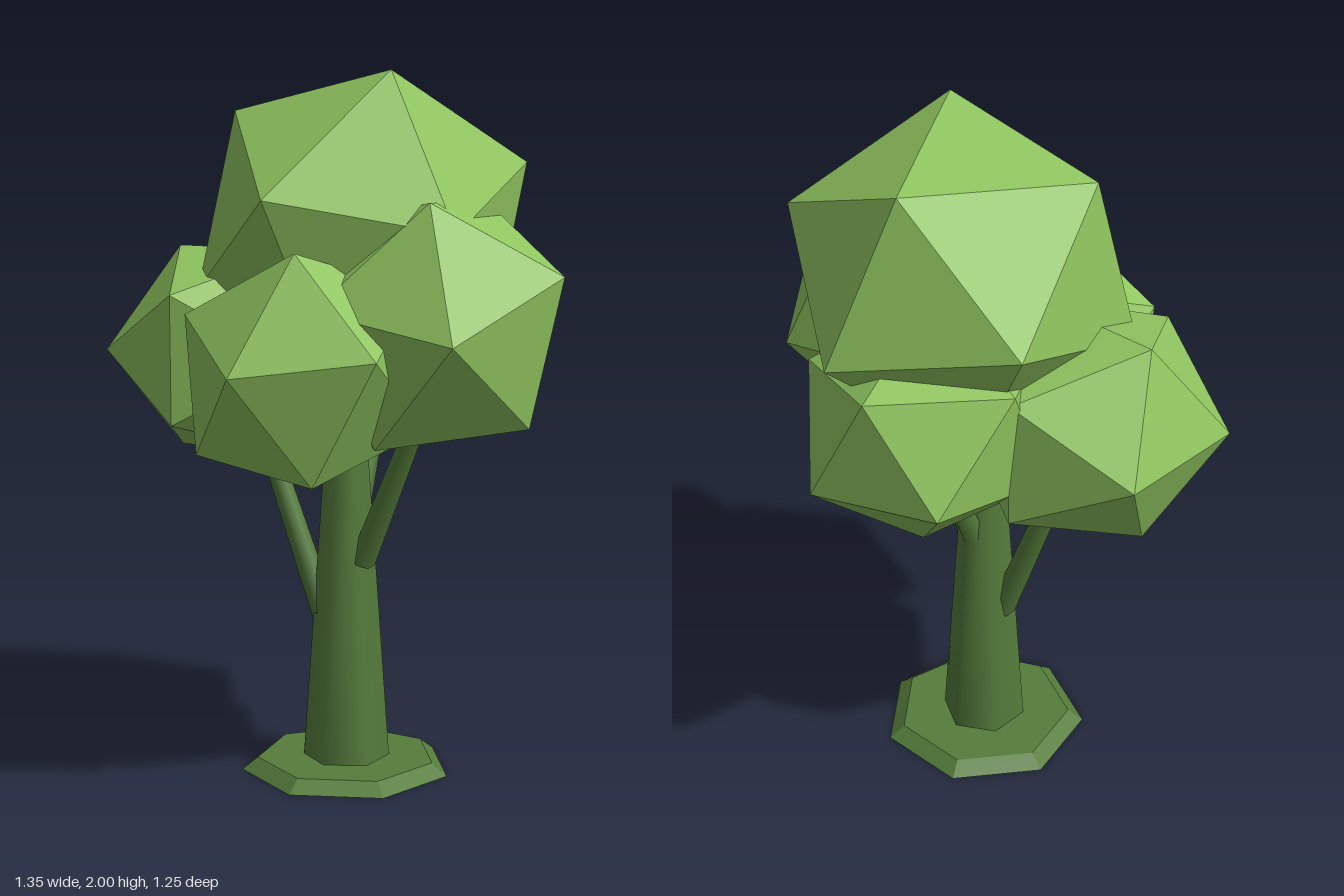
import * as THREE from 'three';

const leafMaterial = new THREE.MeshStandardMaterial({ color: 0x8fc45f, flatShading: true });
const barkMaterial = new THREE.MeshStandardMaterial({ color: 0x567d3c });
const groundMaterial = new THREE.MeshStandardMaterial({ color: 0x567d3c, flatShading: true });

const vec = (p) => new THREE.Vector3(...p);

function add(group, name, geometry, material) {
  const mesh = new THREE.Mesh(geometry, material);
  mesh.name = name;
  group.add(mesh);
  return mesh;
}

// Slightly squashed, tilted icosahedron: one face (three corners relative to
// the centre, counter-clockwise from outside) fixes its size and tilt.
function foliage(group, name, centre, face) {
  const geometry = new THREE.IcosahedronGeometry(1, 0);
  const corners = [0, 1, 2].map((i) =>
    new THREE.Vector3().fromBufferAttribute(geometry.attributes.position, i));
  const from = new THREE.Matrix4().makeBasis(...corners).invert();
  const to = new THREE.Matrix4().makeBasis(...face.map(vec));
  geometry.applyMatrix4(to.multiply(from));
  geometry.computeVertexNormals();
  add(group, name, geometry, leafMaterial).position.set(...centre);
}

// Tapered limb between two points
function limb(group, name, start, end, r0, r1) {
  const a = vec(start);
  const dir = vec(end).sub(a);
  const geometry = new THREE.CylinderGeometry(r1, r0, dir.length(), 6);
  const mesh = add(group, name, geometry, barkMaterial);
  mesh.position.copy(a).addScaledVector(dir, 0.5);
  mesh.quaternion.setFromUnitVectors(new THREE.Vector3(0, 1, 0), dir.normalize());
}

export function createModel() {
  const tree = new THREE.Group();
  tree.name = 'tree';

  // Ground disc and trunk
  const disc = new THREE.CylinderGeometry(0.26, 0.305, 0.035, 7);
  add(tree, 'groundDisc', disc, groundMaterial).position.set(-0.017, 0.0175, -0.02);
  limb(tree, 'trunk', [-0.018, 0.02, -0.02], [-0.018, 0.96, -0.02], 0.125, 0.06);

  // Branches reaching into the foliage
  limb(tree, 'rightBranch', [-0.075, 0.44, 0], [-0.275, 0.98, 0.02], 0.037, 0.028);
  limb(tree, 'leftBranch', [0.045, 0.62, -0.005], [0.235, 1.02, 0.035], 0.037, 0.028);
  limb(tree, 'backBranch', [-0.018, 0.7, -0.06], [-0.025, 1.02, -0.2], 0.037, 0.028);

  // Foliage clumps
  foliage(tree, 'crownFoliage', [0, 1.57, -0.08],
    [[0.165, 0.43, 0.125], [-0.335, 0.32, 0.145], [0, 0.09, 0.51]]);
  foliage(tree, 'frontFoliage', [0.026, 1.192, 0.26],
    [[-0.006, 0.022, 0.36], [0.064, 0.333, 0.15], [-0.276, 0.158, 0.17]]);
  foliage(tree, 'leftFoliage', [0.295, 1.315, 0.03],
    [[0.375, 0.145, -0.03], [0.08, 0.34, 0.17], [0.24, -0.015, 0.33]]);
  foliage(tree, 'rightFoliage', [-0.355, 1.208, 0.037],
    [[-0.32, 0, 0.198], [-0.198, 0.294, 0], [-0.32, 0, -0.198]]);
  foliage(tree, 'backFoliage', [-0.07, 1.23, -0.295],
    [[0.11, -0.126, -0.33], [-0.265, -0.086, -0.235], [-0.06, 0.204, -0.29]]);

  return tree;
}
